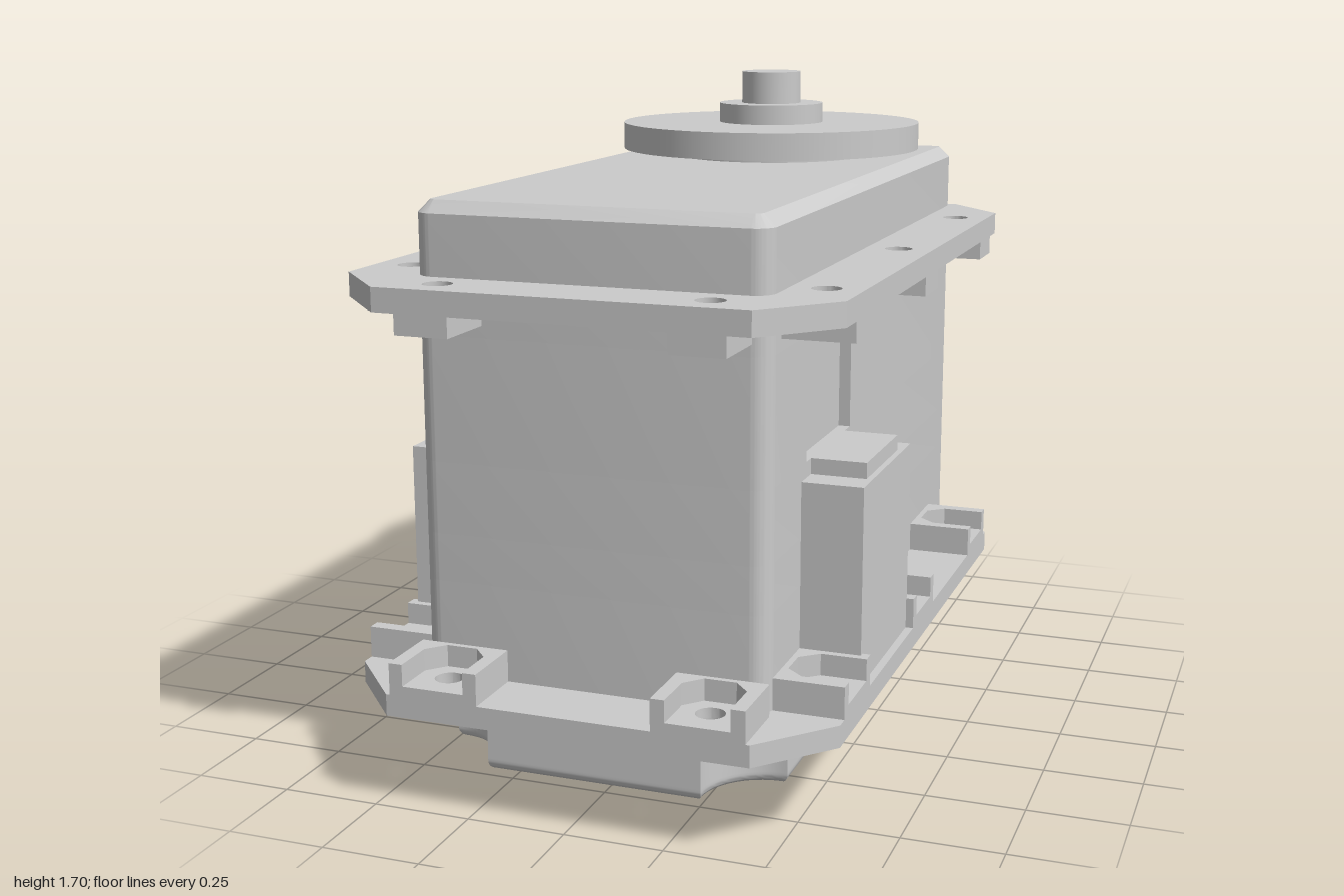
import * as THREE from 'three';
import { toCreasedNormals } from 'three/addons/utils/BufferGeometryUtils.js';

const grey = new THREE.MeshStandardMaterial({ color: 0xcccccc });
const greyDouble = new THREE.MeshStandardMaterial({ color: 0xcccccc, side: THREE.DoubleSide });
const HALF_W = 0.445, BACK = -1, FRONT = 0.825, HORN_Z = -0.56;
const SIDE_Z = [-0.68, 0, 0.67];
const FRONT_HOLE = { x: 0.335, z: 0.91 };

export function createModel() {
  const model = new THREE.Group();

  const add = (name, geometry, material = grey, parent = model) => {
    const mesh = new THREE.Mesh(geometry, material);
    mesh.name = name;
    parent.add(mesh);
    return mesh;
  };

  // Extrudes a plan drawn in (x, z) between two heights, with an optional chamfer
  const slab = (shape, y0, y1, bevel = 0) => {
    const g = new THREE.ExtrudeGeometry(shape, {
      depth: y1 - y0 - 2 * bevel, curveSegments: 12, bevelEnabled: bevel > 0,
      bevelSize: bevel, bevelThickness: bevel, bevelOffset: -bevel, bevelSegments: 1,
    });
    g.rotateX(Math.PI / 2);
    g.translate(0, y1 - bevel, 0);
    return toCreasedNormals(g, 0.5);
  };

  const box = (x0, x1, y0, y1, z0, z1) =>
    new THREE.BoxGeometry(Math.abs(x1 - x0), y1 - y0, z1 - z0)
      .translate((x0 + x1) / 2, (y0 + y1) / 2, (z0 + z1) / 2);

  const disc = (r, y0, y1) =>
    new THREE.CylinderGeometry(r, r, y1 - y0, 64).translate(0, (y0 + y1) / 2, HORN_Z);

  const circle = (x, z, r) => new THREE.Path().absarc(x, z, r, 0, Math.PI * 2, true);

  // Rounded case plan; a notch { z0, z1, depth } cuts into a side wall
  const casePlan = (r, left, right) => {
    const s = new THREE.Shape(), w = HALF_W;
    s.moveTo(-w + r, BACK).lineTo(w - r, BACK);
    s.absarc(w - r, BACK + r, r, -Math.PI / 2, 0, false);
    if (left) {
      s.lineTo(w, left.z0).lineTo(w - left.depth, left.z0);
      s.lineTo(w - left.depth, left.z1).lineTo(w, left.z1);
    }
    s.lineTo(w, FRONT - r);
    s.absarc(w - r, FRONT - r, r, 0, Math.PI / 2, false);
    s.lineTo(-w + r, FRONT);
    s.absarc(-w + r, FRONT - r, r, Math.PI / 2, Math.PI, false);
    if (right) {
      s.lineTo(-w, right.z1).lineTo(-w + right.depth, right.z1);
      s.lineTo(-w + right.depth, right.z0).lineTo(-w, right.z0);
    }
    s.lineTo(-w, BACK + r);
    s.absarc(-w + r, BACK + r, r, Math.PI, Math.PI * 1.5, false);
    return s;
  };

  // Case, stacked in bands so the recesses and the window are real hollows
  const recess = { z0: 0.14, z1: 0.53, depth: 0.03 };
  const windowCut = { z0: -0.23, z1: -0.09, depth: 0.06 };
  const bands = [
    [0.235, 0.53], [0.53, 0.65, null, windowCut], [0.65, 0.83],
    [0.83, 1.14, recess, recess], [1.14, 1.28],
  ];
  for (const [y0, y1, left, right] of bands) add('caseBand', slab(casePlan(0.05, left, right), y0, y1));
  add('topCover', slab(casePlan(0.05), 1.24, 1.46, 0.03));

  // Bottom cover: rings with scooped corners, rounded under the back edge
  const scoop = 0.165, plan = new THREE.Shape();
  plan.moveTo(-0.28, BACK).lineTo(0.28, BACK);
  plan.absarc(HALF_W, BACK, scoop, Math.PI, Math.PI / 2, true);
  plan.absarc(HALF_W, FRONT, scoop, -Math.PI / 2, -Math.PI, true);
  plan.absarc(-HALF_W, FRONT, scoop, 0, -Math.PI / 2, true);
  plan.absarc(-HALF_W, BACK, scoop, Math.PI / 2, 0, true);
  const outline = plan.extractPoints(10).shape;
  const ringAt = (y, back) => {
    const t = Math.max(0, (0.075 - y) / 0.025);
    const inset = 0.022 * (1 - Math.sqrt(Math.max(0, 1 - t * t)));
    return outline.map(p => new THREE.Vector2(
      p.x * (1 - inset / HALF_W),
      Math.max(-0.0875 + (p.y + 0.0875) * (1 - inset / 0.91), back)));
  };
  const levels = [[0.235, BACK]];
  for (let i = 0; i <= 14; i++) {
    const a = (i / 14) * Math.PI / 2;
    levels.push([0.13 - 0.08 * Math.sin(a), -0.84 - 0.16 * Math.cos(a)]);
  }
  const positions = [], indices = [], n = outline.length;
  levels.forEach(([y, back], i) => {
    for (const p of ringAt(y, back)) positions.push(p.x, y, p.y);
    if (i === 0) return;
    for (let j = 0; j < n; j++) {
      const k = (j + 1) % n, a = (i - 1) * n, b = i * n;
      indices.push(a + j, a + k, b + j, a + k, b + k, b + j);
    }
  });
  const wall = new THREE.BufferGeometry();
  wall.setAttribute('position', new THREE.Float32BufferAttribute(positions, 3));
  wall.setIndex(indices);
  add('bottomCoverWall', toCreasedNormals(wall, 0.6));
  const floor = new THREE.Shape(ringAt(...levels[levels.length - 1]));
  floor.holes.push(circle(0, HORN_Z, 0.21));
  add('bottomCoverFloor', new THREE.ShapeGeometry(floor, 24).rotateX(Math.PI / 2).translate(0, 0.05, 0));

  // Rear pivot: hollow boss standing in a round groove
  const pivotProfile = [[0, 0.1], [0.035, 0.1], [0.035, 0.04], [0.085, 0.04], [0.085, 0],
    [0.12, 0], [0.12, 0.075], [0.21, 0.075], [0.21, 0.05]].map(p => new THREE.Vector2(...p));
  const pivot = new THREE.LatheGeometry(pivotProfile, 48).translate(0, 0, HORN_Z);
  add('pivotBoss', toCreasedNormals(pivot, 0.5), greyDouble);

  // Mounting flanges with chamfered corners and screw holes
  const flange = new THREE.Shape([[-0.46, -1], [0.46, -1], [0.62, -0.82], [0.62, 0.82],
    [0.46, 1], [-0.46, 1], [-0.62, 0.82], [-0.62, -0.82]].map(p => new THREE.Vector2(...p)));
  for (const s of [-1, 1]) {
    for (const z of SIDE_Z) flange.holes.push(circle(s * 0.53, z, 0.036));
    flange.holes.push(circle(s * FRONT_HOLE.x, FRONT_HOLE.z, 0.036));
  }
  add('topFlange', slab(flange, 1.22, 1.28));
  add('bottomFlange', slab(flange, 0.235, 0.29));

  // Screw bosses, drawn with z pointing outward from the case wall
  const pad = halfWidth => {
    const s = new THREE.Shape([[-halfWidth, 0], [halfWidth, 0], [halfWidth, 0.175], [-halfWidth, 0.175]]
      .map(p => new THREE.Vector2(...p)));
    s.holes.push(circle(0, 0.085, 0.036));
    return s;
  };
  const nutPocket = new THREE.Shape([[-0.115, 0], [0.115, 0], [0.115, 0.175], [0.08, 0.175], [0.08, 0.06],
    [0.04, 0.015], [-0.04, 0.015], [-0.08, 0.06], [-0.08, 0.175], [-0.115, 0.175]]
    .map(p => new THREE.Vector2(...p)));
  const upperPad = slab(pad(0.068), 1.17, 1.22);
  const lowerPad = slab(pad(0.115), 0.29, 0.315);
  const lowerWalls = slab(nutPocket, 0.315, 0.37);
  const addBosses = (x, z, turn) => {
    const g = new THREE.Group();
    g.name = 'screwBosses';
    g.position.set(x, 0, z);
    g.rotation.y = turn;
    add('upperBoss', upperPad, grey, g);
    add('lowerBossBase', lowerPad, grey, g);
    add('nutPocket', lowerWalls, grey, g);
    model.add(g);
  };
  for (const s of [-1, 1]) {
    for (const z of SIDE_Z) addBosses(s * HALF_W, z, s * Math.PI / 2);
    addBosses(s * FRONT_HOLE.x, FRONT, 0);

    // Cable connector housing on each side
    add('connectorHousing', box(s * 0.41, s * 0.6, 0.29, 0.79, 0.11, 0.57));
    add('connectorNeck', box(s * 0.41, s * 0.585, 0.79, 0.83, 0.19, 0.49));
    add('connectorTab', box(s * 0.41, s * 0.48, 0.29, 0.64, 0.075, 0.11));
  }

  // Output horn
  add('hornCollar', disc(0.275, 1.45, 1.48));
  add('hornDisc', disc(0.43, 1.48, 1.555));
  add('hornHub', disc(0.15, 1.555, 1.61));
  add('hornShaft', disc(0.085, 1.61, 1.7));

  return model;
}
